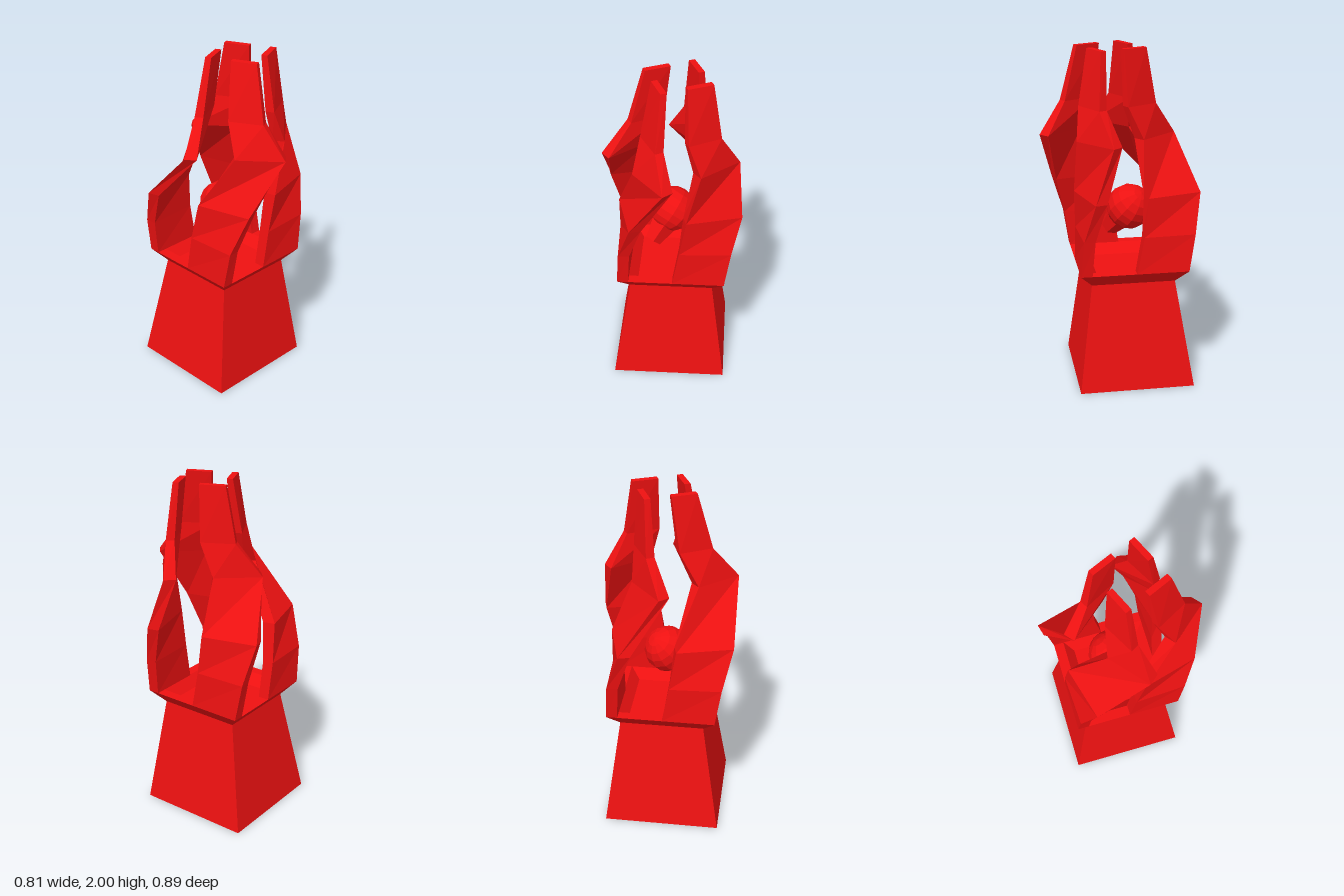
import * as THREE from 'three';

const material = new THREE.MeshStandardMaterial({ color: 0xee1111, flatShading: true });

// Solid through four-cornered rings (counter-clockwise from above), capped at both ends
function loft(rings) {
  const pos = [];
  const quad = (a, b, c, d) => pos.push(...a, ...b, ...c, ...a, ...c, ...d);
  for (let r = 0; r < rings.length - 1; r++) {
    const lo = rings[r], hi = rings[r + 1];
    for (let i = 0; i < 4; i++) {
      const j = (i + 1) % 4;
      quad(lo[i], lo[j], hi[j], hi[i]);
    }
  }
  const first = rings[0], last = rings[rings.length - 1];
  quad(first[3], first[2], first[1], first[0]);
  quad(last[0], last[1], last[2], last[3]);
  const g = new THREE.BufferGeometry();
  g.setAttribute('position', new THREE.Float32BufferAttribute(pos, 3));
  g.computeVertexNormals();
  return g;
}

function add(parent, name, geometry) {
  const mesh = new THREE.Mesh(geometry, material);
  mesh.name = name;
  parent.add(mesh);
  return mesh;
}

// Square ring: height, half width, centre x and z
const square = ([y, h, cx, cz]) =>
  [[-1, 1], [1, 1], [1, -1], [-1, -1]].map(([sx, sz]) => [cx + sx * h, y, cz + sz * h]);

// Finger sections: height, axis x z, leading edge x z, trailing edge x z, thickness
const SECTIONS = [
  [0.73, 0, -0.065, 0.01, 0.315, 0.315, 0.315, 0.065],
  [0.95, 0, -0.065, 0.05, 0.315, 0.35, 0.30, 0.065],
  [1.18, 0, -0.05, 0.09, 0.31, 0.405, 0.225, 0.07],
  [1.49, -0.01, 0.05, 0.18, 0.20, 0.39, 0.02, 0.07],
  [1.68, 0.01, 0.05, 0.09, 0.18, 0.265, 0.085, 0.05],
  [2.0, 0.03, 0.04, 0.06, 0.14, 0.195, 0.08, 0.035],
];

// One twisted finger, turned by k quarter turns about the drifting axis
function finger(k) {
  return loft(SECTIONS.map(([y, cx, cz, px, pz, qx, qz, t]) => {
    const len = Math.hypot(qx - px, qz - pz);
    const nx = (qz - pz) / len * t, nz = -(qx - px) / len * t;
    const ring = [[px, pz], [qx, qz], [qx + nx, qz + nz], [px + nx, pz + nz]];
    return ring.map(([x, z]) => {
      for (let i = 0; i < k; i++) [x, z] = [-z, x];
      return [cx + x, y, cz + z];
    });
  }));
}

export function createModel() {
  const model = new THREE.Group();
  model.name = 'handTower';

  // Tapered pedestal with flared rim and shallow recess
  add(model, 'pedestal', loft([
    [0, 0.34, -0.01, -0.08],
    [0.65, 0.245, 0, -0.065],
    [0.73, 0.315, 0, -0.065],
    [0.73, 0.255, 0, -0.065],
    [0.67, 0.2, 0, -0.065],
  ].map(square)));

  // Four fingers around the rim
  const fingers = new THREE.Group();
  fingers.name = 'fingers';
  for (let k = 0; k < 4; k++) add(fingers, 'finger' + (k + 1), finger(k));
  model.add(fingers);

  // Floating bulb held between the fingers, its neck pointing down and forward
  const bulb = new THREE.Group();
  bulb.name = 'bulb';
  add(bulb, 'bulbBall', new THREE.SphereGeometry(0.135, 12, 9));
  const neck = add(bulb, 'bulbNeck', new THREE.CylinderGeometry(0.085, 0.05, 0.14, 5));
  neck.position.y = -0.155;
  bulb.position.set(-0.005, 1.04, -0.08);
  bulb.quaternion.setFromUnitVectors(
    new THREE.Vector3(0, -1, 0), new THREE.Vector3(-0.11, -0.16, 0.1).normalize());
  model.add(bulb);

  return model;
}
